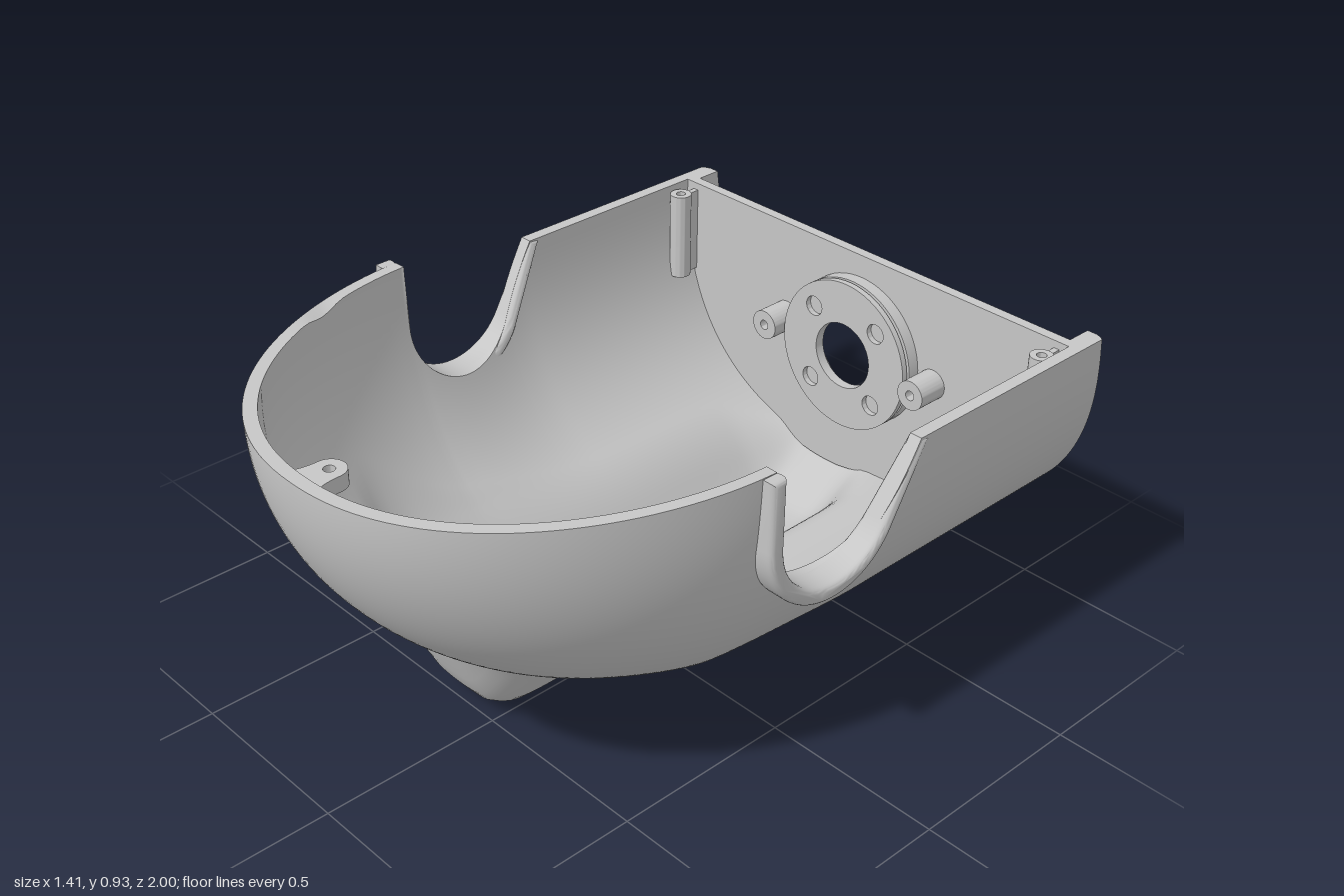
import * as THREE from 'three';
import { toCreasedNormals } from 'three/addons/utils/BufferGeometryUtils.js';

const clamp = THREE.MathUtils.clamp;
const smooth = THREE.MathUtils.smoothstep;
const FRONT_Y = 0.93, REAR_Y = 0.845;
const CUT = { z: 0.04, y: 0.75, r: 0.18 };
const HUB_Y = 0.567;

// height of the top edge, with the U-shaped side cutout
function rimHeight(z) {
  if (z > 0.22) return FRONT_Y;
  if (z > -0.117) return CUT.y - Math.sqrt(Math.max(0, CUT.r ** 2 - (z - CUT.z) ** 2));
  if (z > -0.22) return Math.min(REAR_Y, 0.663 + (-0.117 - z) * 1.767);
  return REAR_Y;
}

// lowest line of the keel along z
const KEEL = new THREE.SplineCurve([[0.7, 0.5], [0.6, 0.25], [0.53, 0.085], [0.465, 0.018], [0.35, -0.006],
  [0, 0.005], [-0.3, 0.01], [-0.62, 0.015], [-0.72, 0.05], [-0.82, 0.14], [-0.9, 0.28]]
  .map(p => new THREE.Vector2(...p))).getPoints(100);
function keelBottom(z) {
  for (let i = 0; i < KEEL.length - 1; i++) {
    const a = KEEL[i], b = KEEL[i + 1];
    if (z <= a.x && z >= b.x) return a.y + (b.y - a.y) * (a.x - z) / (a.x - b.x);
  }
  return 2;
}

function smoothMin(a, b, k) {
  const h = Math.max(k - Math.abs(a - b), 0) / k;
  return Math.min(a, b) - h * h * k / 4;
}

// point on the hull: v runs from the left rim under the belly to the right rim
function hullPoint(z, v, inner) {
  const k = inner ? (z < -0.83 ? 0.925 : 0.952) : 1;
  const uw = clamp((z - 0.2) / 0.8, 0, 1), ub = clamp((z - 0.15) / 0.85, 0, 1);
  const top = REAR_Y + (FRONT_Y - REAR_Y) * smooth(z, -0.22, 0.22);
  let a = (0.67 + 0.033 * (1 - smooth(z, -0.2, 0.2))) * Math.pow(1 - Math.pow(uw, 1.85), 0.46) * k;
  let b = (top - 0.165) * Math.pow(1 - Math.pow(ub, 1.7), 0.47) * k;
  const roll = Math.pow(clamp((-z - 0.97) / 0.03, 0, 1), 2) * (inner ? 0 : 0.025); // rounded rear lip
  a -= roll;
  b -= roll;
  const n = 2.45 - 0.4 * uw;
  const start = b > 1e-5 ? Math.asin(Math.pow(clamp((top - rimHeight(z)) / b, 0, 1), n / 2)) : 0;
  const t = clamp(v * Math.PI, start, Math.PI - start);
  const c = Math.cos(t);
  const x = a * Math.sign(c) * Math.pow(Math.abs(c), 2 / n);
  let y = top - b * Math.pow(Math.max(0, Math.sin(t)), 2 / n);
  // offset keel and slight swelling on the left flank
  const d = Math.abs(x + 0.1) - 0.1;
  const keel = keelBottom(z) + (inner ? 0.034 : 0) + 0.75 * (d + Math.hypot(d, 0.03)) + 8 * Math.max(0, d - 0.2) ** 2;
  y = smoothMin(y, keel, 0.07);
  y -= 0.025 * Math.exp(-(((x - 0.42) / 0.13) ** 2) - ((z - 0.1) / 0.2) ** 2);
  // slanted rear edge
  const zz = z + clamp((-z - 0.84) / 0.16, 0, 1) * (y - 0.2) * 0.138;
  return [x, y, inner && z > 0.2 ? 0.2 + (zz - 0.2) * 0.956 : zz];
}

function gridGeometry(rows, flip) {
  const w = rows[0].length, index = [];
  for (let i = 0; i < rows.length - 1; i++)
    for (let j = 0; j < w - 1; j++) {
      const p = i * w + j, q = p + w;
      if (flip) index.push(p, p + 1, q, q, p + 1, q + 1);
      else index.push(p, q, p + 1, q, q + 1, p + 1);
    }
  const g = new THREE.BufferGeometry();
  g.setAttribute('position', new THREE.Float32BufferAttribute(rows.flat(2), 3));
  g.setIndex(index);
  g.computeVertexNormals();
  return g;
}

function stations() {
  const zs = [];
  for (let i = 0; i <= 40; i++) zs.push(0.23 + 0.77 * Math.cos(i / 40 * Math.PI / 2));
  zs.push(0.2202);
  for (let i = 0; i <= 28; i++) zs.push(CUT.z + 0.1799 * Math.cos(i / 28 * Math.PI * 0.84));
  for (let i = 0; i <= 6; i++) zs.push(-0.125 - 0.095 * i / 6);
  for (let i = 1; i <= 24; i++) zs.push(-0.22 - 0.609 * i / 24);
  for (let i = 0; i <= 12; i++) zs.push(-0.831 - 0.169 * i / 12);
  return zs.sort((p, q) => q - p);
}

export function createModel() {
  const model = new THREE.Group();
  const grey = new THREE.MeshStandardMaterial({ color: 0xc6c6c6, side: THREE.DoubleSide });
  grey.name = 'light grey plastic';
  const add = (name, geometry, x = 0, y = 0, z = 0) => {
    const mesh = new THREE.Mesh(geometry, grey);
    mesh.name = name;
    mesh.position.set(x, y, z);
    model.add(mesh);
    return mesh;
  };

  // hull skins and the strips that close their edges
  const N = 160, zs = stations();
  const skin = inner => zs.map(z => Array.from({ length: N + 1 }, (_, j) => hullPoint(z, j / N, inner)));
  const outer = skin(false), inside = skin(true);
  add('outerHull', gridGeometry(outer, true));
  add('innerHull', gridGeometry(inside, false));
  add('leftRim', toCreasedNormals(gridGeometry(outer.map((r, i) => [r[0], inside[i][0]]), false), 0.6));
  add('rightRim', toCreasedNormals(gridGeometry(outer.map((r, i) => [r[N], inside[i][N]]), true), 0.6));
  const last = zs.length - 1;
  add('rearRim', gridGeometry([outer[last], inside[last]], true));

  // rounded lips around the side cutouts, thinning toward the rear
  const ring = (r, y) => {
    const pts = [[CUT.z + r, y]];
    for (let i = 0; i <= 28; i++) {
      const t = -i / 28 * Math.PI * 0.839, rr = r + (0.192 - r) * 0.6 * (i / 28) ** 2;
      pts.push([CUT.z + rr * Math.cos(t), CUT.y + rr * Math.sin(t)]);
    }
    const e = pts[pts.length - 1], rise = REAR_Y - 0.013 - e[1];
    pts.push([e[0] - rise * 0.566, e[1] + rise]);
    return pts;
  };
  const edge = [...ring(0.192, 0.918), ...ring(0.212, 0.918).reverse()];
  const lip = new THREE.Shape(edge.map(p => new THREE.Vector2(...p)));
  for (const side of [1, -1]) {
    const g = new THREE.ExtrudeGeometry(lip, { depth: 0.07, bevelThickness: 0.016, bevelSize: 0.012, bevelSegments: 4 });
    const p = g.attributes.position;
    for (let i = 0; i < p.count; i++) {
      const z = p.getX(i), y = p.getY(i), out = p.getZ(i);
      const base = 0.615 + clamp((y - 0.53) * 0.16, 0, 0.048);
      const x = out > 0.05 ? 0.619 + out : base + out + 0.016;
      p.setXYZ(i, side * x, y, z);
    }
    if (side > 0) { // keep the faces outward
      for (let i = 0; i < p.count; i += 3) {
        const a = [p.getX(i), p.getY(i), p.getZ(i)];
        p.setXYZ(i, p.getX(i + 1), p.getY(i + 1), p.getZ(i + 1));
        p.setXYZ(i + 1, ...a);
      }
    }
    g.deleteAttribute('normal');
    g.deleteAttribute('uv');
    add(side > 0 ? 'leftCutoutLip' : 'rightCutoutLip', toCreasedNormals(g, 0.8));
  }

  // plates in the xy plane with round holes
  const plate = (shape, holes, depth) => {
    for (const [x, y, r] of holes) shape.holes.push(new THREE.Path().absarc(x, y, r, 0, Math.PI * 2, true));
    return toCreasedNormals(new THREE.ExtrudeGeometry(shape, { depth, bevelEnabled: false, curveSegments: 32 }), 0.6);
  };
  const disc = r => new THREE.Shape().absarc(0, 0, r, 0, Math.PI * 2, false);

  // rear bulkhead
  const wall = new THREE.Shape();
  for (let j = 0; j <= 80; j++) {
    const [x, y] = hullPoint(-0.825, j / 80, true);
    const q = [x * 1.015, j % 80 ? y - 0.006 : REAR_Y];
    if (j) wall.lineTo(...q); else wall.moveTo(...q);
  }
  add('bulkhead', plate(wall, [[0, HUB_Y, 0.165]], 0.03), 0, 0, -0.84);

  // bearing cup with its bolt holes
  add('cupWall', plate(disc(0.215), [[0, 0, 0.165]], 0.05), 0, HUB_Y, -0.825);
  add('cupFloor', plate(disc(0.2), [[0, 0, 0.095]], 0.012), 0, HUB_Y, -0.777);
  const bolts = [45, 135, 225, 315].map(d => d * Math.PI / 180)
    .map(t => [0.155 * Math.cos(t), 0.155 * Math.sin(t), 0.028]);
  add('cupFace', plate(disc(0.215), [[0, 0, 0.095], ...bolts], 0.017), 0, HUB_Y, -0.766);

  for (const side of [1, -1]) {
    const label = side > 0 ? 'left' : 'right';
    // screw bosses beside the cup
    add(label + 'CupBoss', plate(disc(0.042), [[0, 0, 0.014]], 0.1), side * 0.265, HUB_Y, -0.82);
    // screw columns in the rear corners
    const column = add(label + 'Column', plate(disc(0.03), [[0, 0, 0.013]], 0.25), side * 0.635, 0.58, -0.75);
    column.rotation.x = -Math.PI / 2;
    add(label + 'ColumnWeb', new THREE.BoxGeometry(0.016, 0.245, 0.045), side * 0.635, 0.7025, -0.797);
  }

  // screw tab inside the nose
  const tab = new THREE.Shape();
  tab.moveTo(-0.065, -0.075).quadraticCurveTo(-0.04, -0.065, -0.04, 0);
  tab.absarc(0, 0, 0.04, Math.PI, 0, true);
  tab.quadraticCurveTo(0.04, -0.065, 0.065, -0.075);
  const noseTab = add('noseTab', plate(tab, [[0, 0, 0.014]], 0.04), 0, 0.88, 0.9);
  noseTab.rotation.x = -Math.PI / 2;
  return model;
}
